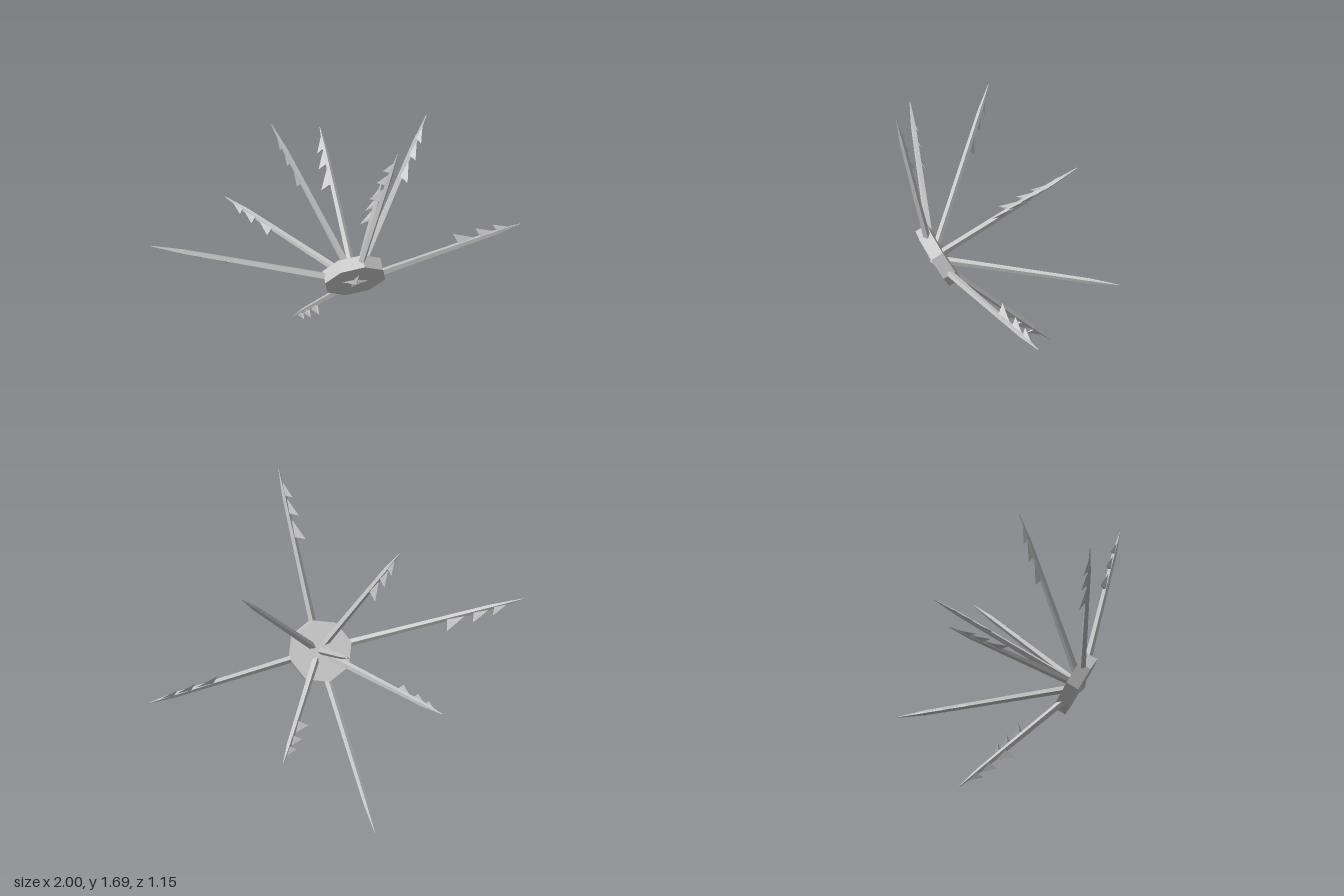
import * as THREE from 'three';
import { ConvexGeometry } from 'three/addons/geometries/ConvexGeometry.js';

const V = (x, y, z) => new THREE.Vector3(x, y, z);

export function createModel() {
  const model = new THREE.Group();
  const grey = new THREE.MeshStandardMaterial({ color: 0xcccccc, flatShading: true });
  grey.name = 'lightGrey';

  const add = (parent, name, geometry) => {
    const mesh = new THREE.Mesh(geometry, grey);
    mesh.name = name;
    parent.add(mesh);
    return mesh;
  };

  // Octagonal hub, tilted so that its face looks forward and slightly down
  const tilt = THREE.MathUtils.degToRad(-61.6);
  const hub = add(model, 'hub', new THREE.CylinderGeometry(0.166, 0.166, 0.07, 8, 1, false, THREE.MathUtils.degToRad(11)));
  hub.position.set(0.046, 0.733, 0.305);
  hub.rotation.x = tilt;

  // All spikes start at the middle of the hub's face
  const root = V(0.046, 0.717, 0.335);
  const faceNormal = V(0, -Math.cos(tilt), -Math.sin(tilt));

  const addSpike = (name, tip, barbSide) => {
    const spike = new THREE.Group();
    spike.name = name;
    spike.position.copy(root);
    model.add(spike);

    const dir = tip.clone().sub(root);
    const length = dir.length();
    dir.normalize();

    // Four-sided tapering rod with one ridge turned to the hub's face
    const ridge = faceNormal.clone().addScaledVector(dir, -faceNormal.dot(dir));
    if (ridge.length() < 0.1) ridge.set(1, 0, 0);
    ridge.normalize();
    const profile = [[0, 0], [0.02, 0], [0.0135, length * 0.84], [0.002, length], [0, length]]
      .map(p => new THREE.Vector2(...p));
    const rod = add(spike, 'rod', new THREE.LatheGeometry(profile, 4));
    rod.quaternion.setFromRotationMatrix(
      new THREE.Matrix4().makeBasis(dir.clone().cross(ridge), dir, ridge));

    // Three thin barbs that sweep back towards the hub
    const out = barbSide.clone().addScaledVector(dir, -barbSide.dot(dir)).normalize();
    const wide = dir.clone().cross(out);
    const at = (along, o, w) => dir.clone().multiplyScalar(along).addScaledVector(out, o).addScaledVector(wide, w);
    for (const [t, height, run] of [[0.61, 0.066, 0.135], [0.74, 0.056, 0.12], [0.84, 0.045, 0.1]]) {
      const s = t * length;
      add(spike, 'barb', new ConvexGeometry([
        at(s, height, 0), at(s + 0.02, 0, 0.009), at(s + 0.02, 0, -0.009), at(s + run, 0, 0),
      ]));
    }
  };

  // Tip of each spike, and the side its barbs are on
  addSpike('rightSpike', V(-1, 1.012, 0.17), V(0, -6, -4.5));
  addSpike('leftSpike', V(1, 0.69, 0.03), V(0, 5, -3));
  addSpike('topSpike', V(0.213, 1.695, 0.573), V(-6, 0, -4));
  addSpike('bottomSpike', V(-0.122, 0.002, -0.348), V(0, -4, 4));
  addSpike('upperRightSpike', V(-0.303, 1.504, -0.062), V(-3.5, -2, -5.5));
  addSpike('upperLeftSpike', V(0.537, 1.363, -0.132), V(5, 2, 8));
  addSpike('backSpike', V(0.044, 1.14, -0.442), V(-4, -1, -0.5));
  addSpike('backLeftSpike', V(0.403, 0.62, -0.57), V(-5.5, -3, -2));
  addSpike('backRightSpike', V(-0.453, 0.757, -0.464), V(-5, 0, 3));

  return model;
}
